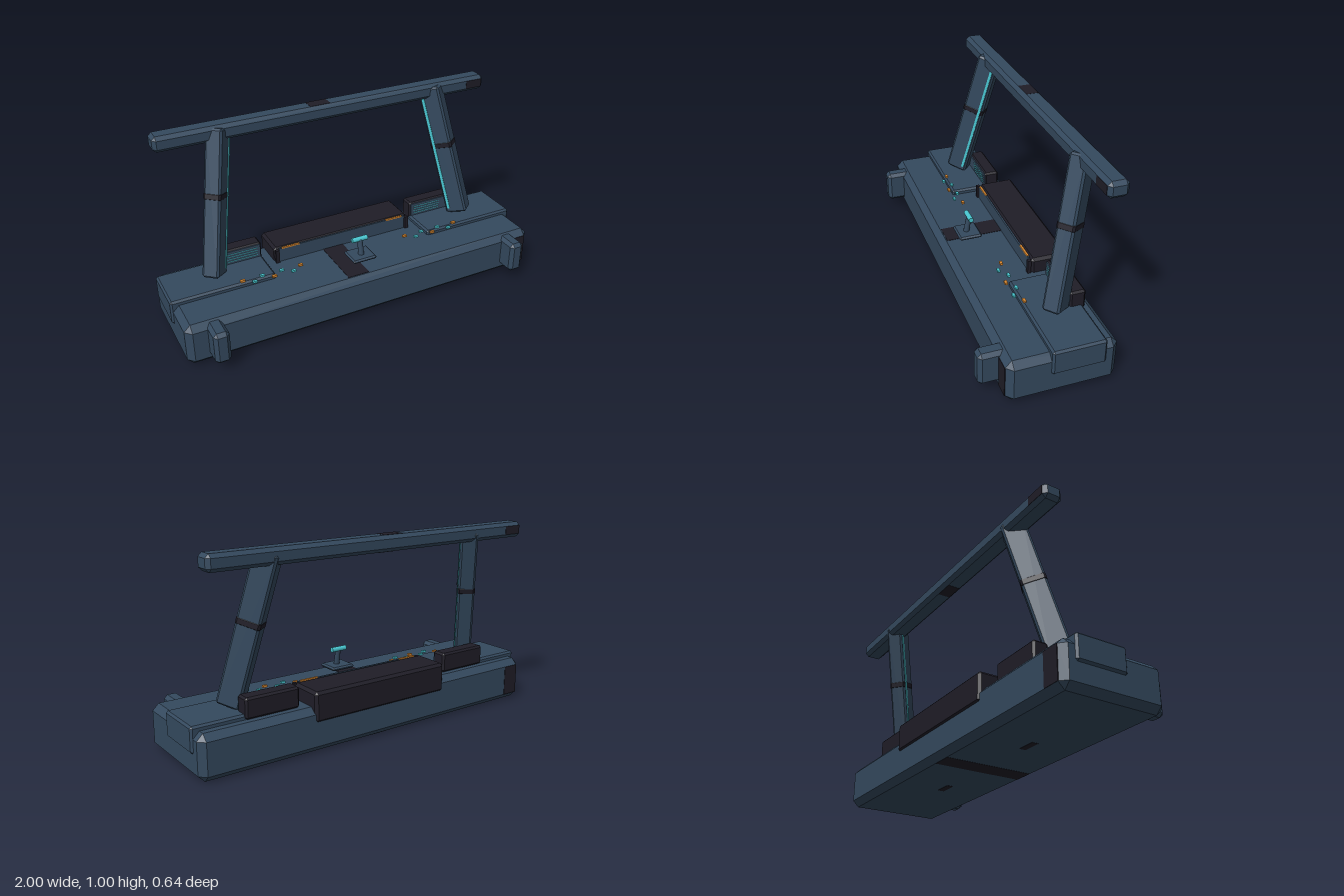
import * as THREE from 'three';
import { ConvexGeometry } from 'three/addons/geometries/ConvexGeometry.js';

const paint = (name, color) => {
  const m = new THREE.MeshStandardMaterial({ color });
  m.name = name;
  return m;
};

// Box whose edges and corners are all cut by c
function chamferBox(w, h, d, c) {
  const pts = [];
  const [a, b, e] = [w / 2, h / 2, d / 2];
  for (const x of [-1, 1]) for (const y of [-1, 1]) for (const z of [-1, 1]) {
    pts.push(new THREE.Vector3(x * a, y * (b - c), z * (e - c)));
    pts.push(new THREE.Vector3(x * (a - c), y * b, z * (e - c)));
    pts.push(new THREE.Vector3(x * (a - c), y * (b - c), z * e));
  }
  return new ConvexGeometry(pts);
}

export function createModel() {
  const blue = paint('slate blue', 0x34495e);
  const dark = paint('charcoal', 0x1f1d27);
  const teal = paint('teal', 0x48c6d0);
  const orange = paint('orange', 0xdc8a30);
  const model = new THREE.Group();
  model.name = 'console';

  const add = (name, geometry, material, parent = model) => {
    const mesh = new THREE.Mesh(geometry, material);
    mesh.name = name;
    parent.add(mesh);
    return mesh;
  };
  // Block given by its extents along each axis; c > 0 chamfers it
  const block = (name, [x0, x1], [y0, y1], [z0, z1], material, c = 0) => {
    const [w, h, d] = [Math.abs(x1 - x0), y1 - y0, z1 - z0];
    const mesh = add(name, c ? chamferBox(w, h, d, c) : new THREE.BoxGeometry(w, h, d), material);
    mesh.position.set((x0 + x1) / 2, (y0 + y1) / 2, (z0 + z1) / 2);
    return mesh;
  };

  // Long base and its painted patches
  block('base', [-0.99, 0.99], [0, 0.225], [-0.302, 0.232], blue, 0.032);
  block('baseTopStripe', [-0.125, -0.008], [0.222, 0.227], [-0.11, 0.195], dark);
  block('baseBottomStripe', [-0.055, 0.055], [-0.001, 0.004], [-0.27, 0.2], dark);
  block('baseFrontPatch', [0.885, 0.96], [0.032, 0.193], [0.228, 0.234], dark);
  block('baseBackPatch', [-0.96, -0.87], [0.032, 0.193], [-0.304, -0.298], dark);

  // Cross beam
  block('topBeam', [-0.93, 0.925], [0.92, 1.0], [-0.312, -0.212], blue, 0.018);
  block('beamTopPatch', [-0.12, -0.008], [0.996, 1.001], [-0.294, -0.23], dark);
  block('beamBottomPatch', [-0.07, 0.035], [0.919, 0.924], [-0.294, -0.23], dark);
  block('beamFrontPatch', [0.81, 0.907], [0.938, 0.982], [-0.216, -0.2105], dark);
  block('beamBackPatch', [-0.912, -0.81], [0.938, 0.982], [-0.3135, -0.308], dark);

  // Rear centre console with a lighter front panel
  block('centreConsole', [-0.4, 0.4], [0.15, 0.303], [-0.31, -0.115], dark, 0.014);
  block('consoleFront', [-0.375, 0.375], [0.225, 0.302], [-0.116, -0.107], blue);

  for (const s of [-1, 1]) {
    block('endCap', [s * 0.45, s * 1.0], [0.122, 0.25], [-0.236, 0.026], blue, 0.01);
    block('frontFoot', [s * 0.805, s * 0.885], [0.045, 0.217], [0.19, 0.327], blue, 0.018);
    block('bottomSlot', [s * 0.33, s * 0.43], [-0.001, 0.004], [-0.05, -0.015], dark);
    block('consolePeg', [s * 0.378, s * 0.398], [0.225, 0.297], [-0.115, -0.097], dark);
    block('consoleLight', [s * 0.26, s * 0.36], [0.298, 0.305], [-0.117, -0.106], orange);

    // Vent box with glowing slats on its front
    block('ventBox', [s * 0.45, s * 0.735], [0.225, 0.329], [-0.25, -0.17], dark, 0.01);
    block('ventFront', [s * 0.458, s * 0.727], [0.235, 0.322], [-0.172, -0.166], blue);
    for (let i = 0; i < 4; i++) {
      const y = 0.262 + i * 0.014;
      block('ventSlat', [s * 0.475, s * 0.64], [y, y + 0.003], [-0.168, -0.164], teal);
    }

    // Two staggered rows of buttons
    for (let i = 0; i < 7; i++) {
      const x = s * (0.31 + i * 0.0525);
      const z = i % 2 ? 0.045 : 0.012;
      const isOrange = i === 0 || i === 3 || i === 6;
      block('button', [x - 0.012, x + 0.012], [0.248, 0.259], [z - 0.007, z + 0.007],
        isOrange ? orange : teal);
    }

    // Leaning post, turned so that one face looks inwards and forwards
    const foot = new THREE.Vector3(s * 0.734, 0.258, -0.096);
    const head = new THREE.Vector3(s * 0.6, 0.978, -0.254);
    const dir = head.clone().sub(foot);
    const length = dir.length();
    dir.normalize();
    const inward = new THREE.Vector3(s * dir.z, 0, -s * dir.x).normalize();
    const post = new THREE.Group();
    post.name = 'post';
    post.position.copy(foot).lerp(head, 0.5);
    post.quaternion.setFromRotationMatrix(
      new THREE.Matrix4().makeBasis(inward, dir, inward.clone().cross(dir)));
    model.add(post);
    add('postBeam', chamferBox(0.088, length, 0.118, 0.01), blue, post);
    add('postBand', chamferBox(0.091, 0.045, 0.121, 0.01), dark, post).position.y = 0.04;
    add('postLight', new THREE.BoxGeometry(0.008, length - 0.06, 0.014), teal, post)
      .position.set(0.0435, 0, s * 0.038);
  }

  // Control stick on its plate
  block('stickPlate', [-0.068, 0.066], [0.256, 0.275], [0.025, 0.146], blue, 0.008);
  const stick = add('stick', new THREE.CylinderGeometry(0.013, 0.016, 0.1, 12), blue);
  stick.position.set(0, 0.312, 0.085);
  stick.rotation.x = -0.17;
  const grip = add('stickGrip', new THREE.CylinderGeometry(0.013, 0.013, 0.086, 12), teal);
  grip.position.set(-0.002, 0.358, 0.077);
  grip.rotation.z = Math.PI / 2;

  return model;
}
